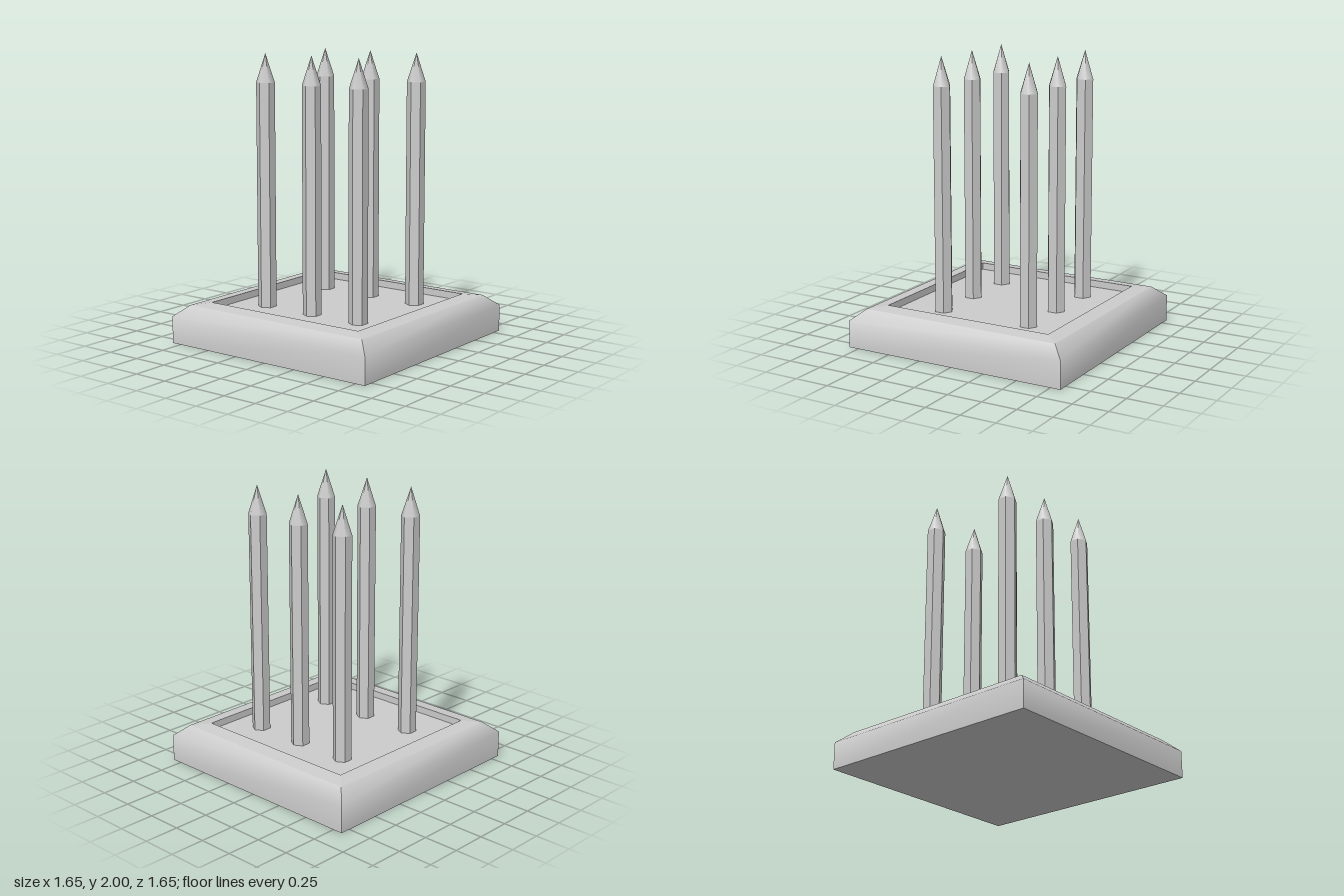
import * as THREE from 'three';
import { mergeGeometries } from 'three/addons/utils/BufferGeometryUtils.js';

const material = new THREE.MeshStandardMaterial({ color: 0xcccccc });
const flatMaterial = new THREE.MeshStandardMaterial({ color: 0xcccccc, flatShading: true });

// Four mitred sides following a profile of [half width, height] pairs;
// each side is smooth along the profile and sharp at the corners.
function squareRing(profile) {
  const positions = [], index = [];
  profile.forEach(([h, y], i) => {
    positions.push(-h, y, h, h, y, h);
    if (i > 0) {
      const a = 2 * i - 2;
      index.push(a, a + 1, a + 3, a, a + 3, a + 2);
    }
  });
  const side = new THREE.BufferGeometry();
  side.setAttribute('position', new THREE.Float32BufferAttribute(positions, 3));
  side.setIndex(index);
  side.computeVertexNormals();
  return mergeGeometries([0, 1, 2, 3].map(k => side.clone().rotateY(k * Math.PI / 2)));
}

export function createModel() {
  const model = new THREE.Group();
  model.name = 'spikedBase';

  const add = (parent, name, geometry, mat = material) => {
    const mesh = new THREE.Mesh(geometry, mat);
    mesh.name = name;
    parent.add(mesh);
    return mesh;
  };

  // Square base: bevelled outside, gently sloped rim, shallow tray
  const half = 0.823, rim = 0.735, tray = 0.628, floorY = 0.23;
  const base = new THREE.Group();
  base.name = 'base';
  model.add(base);
  add(base, 'outerWall', squareRing([[half, 0], [half, 0.19], [rim, 0.266]]));
  add(base, 'rim', squareRing([[rim, 0.266], [tray, 0.28]]));
  add(base, 'trayWall', squareRing([[tray, 0.28], [tray, floorY]]));
  add(base, 'trayFloor', new THREE.PlaneGeometry(2 * tray, 2 * tray)
    .rotateX(-Math.PI / 2).translate(0, floorY, 0));
  add(base, 'underside', new THREE.PlaneGeometry(2 * half, 2 * half).rotateX(Math.PI / 2));

  // Hexagonal posts with pointed tips, in two rows of three
  const radius = 0.065, shoulder = 1.8, top = 2;
  const shaft = new THREE.CylinderGeometry(radius, radius, shoulder - floorY, 6, 1, true)
    .rotateY(Math.PI / 6).translate(0, (shoulder + floorY) / 2, 0);
  const tip = new THREE.ConeGeometry(radius, top - shoulder, 6, 1, true)
    .rotateY(Math.PI / 6).translate(0, (top + shoulder) / 2, 0);
  for (const x of [-0.318, 0.354]) {
    for (const z of [-0.387, 0.012, 0.402]) {
      const post = new THREE.Group();
      post.name = 'post';
      post.position.set(x, 0, z);
      add(post, 'shaft', shaft, flatMaterial);
      add(post, 'tip', tip);
      model.add(post);
    }
  }
  return model;
}
